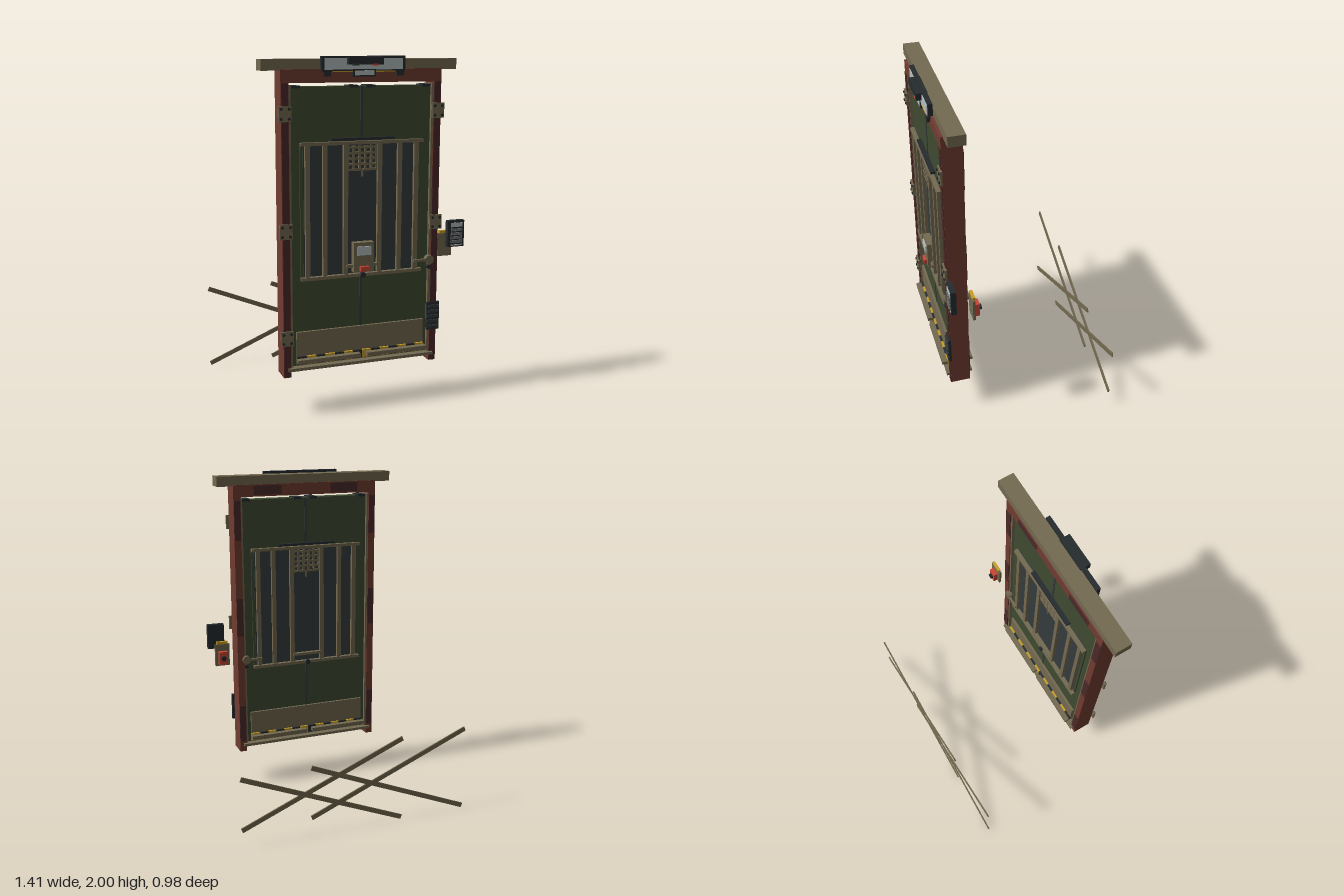
import * as THREE from 'three';

const paint = (name, color) => {
  const m = new THREE.MeshStandardMaterial({ color });
  m.name = name;
  return m;
};

export function createModel() {
  const green = paint('door green', 0x3f4a31), tan = paint('weathered tan', 0x746a51);
  const rust = paint('rust red', 0x713c31), darkRust = paint('dark rust', 0x4b2929);
  const slate = paint('slate grey', 0x353c3e), black = paint('charcoal', 0x262b2f);
  const pale = paint('pale glass', 0xb4bdbd), red = paint('signal red', 0xcb4634);
  const yellow = paint('hazard yellow', 0xc9a028), grey = paint('button grey', 0x6a706d);

  const model = new THREE.Group();
  model.name = 'securityDoor';
  const ZC = 0.3875; // middle of the wall thickness

  // Box given by its limits on each axis
  function box(name, mat, x0, x1, y0, y1, z0, z1, parent = model) {
    const m = new THREE.Mesh(new THREE.BoxGeometry(x1 - x0, y1 - y0, Math.abs(z1 - z0)), mat);
    m.position.set((x0 + x1) / 2, (y0 + y1) / 2, (z0 + z1) / 2);
    m.name = name;
    parent.add(m);
    return m;
  }
  // Disc or rod pointing along z
  function disc(name, mat, x, y, z, r, depth, sides = 12, parent = model) {
    const m = new THREE.Mesh(new THREE.CylinderGeometry(r, r, depth, sides).rotateX(Math.PI / 2), mat);
    m.position.set(x, y, z);
    m.name = name;
    parent.add(m);
    return m;
  }
  function group(name) {
    const g = new THREE.Group();
    g.name = name;
    model.add(g);
    return g;
  }

  // Frame
  const frame = group('frame');
  box('lintel', tan, -0.565, 0.562, 1.925, 1.985, 0.335, 0.43, frame);
  box('header', rust, -0.465, 0.465, 1.86, 1.932, 0.33, 0.445, frame);
  for (const s of [-1, 1]) {
    const x = s * 0.4425;
    box('jamb', rust, x - 0.022, x + 0.022, 0.23, 1.93, 0.33, 0.445, frame);
    box('jambFace', darkRust, x - 0.019, x + 0.019, 0.23, 1.86, 0.445, 0.448, frame);
    box('jambLining', tan, s * 0.415 - 0.006, s * 0.415 + 0.006, 0.28, 1.85, 0.335, 0.44, frame);
    box('headerPatch', darkRust, s * 0.25 - 0.09, s * 0.25 + 0.09, 1.87, 1.925, 0.327, 0.33, frame);
    for (const y of [0.42, 1.12, 1.72])
      box('jambPatch', darkRust, x - 0.02, x + 0.02, y - 0.12, y + 0.12, 0.327, 0.33, frame);
  }
  box('sill', tan, -0.44, 0.44, 0.268, 0.285, 0.31, 0.465, frame);

  // Two door leaves with top rollers
  const door = group('door');
  for (const s of [-1, 1]) {
    const x = s * 0.2065;
    box('leaf', green, x - 0.2025, x + 0.2025, 0.285, 1.84, 0.352, 0.423, door);
    for (const rx of [0.05, 0.38])
      box('roller', black, s * rx - 0.025, s * rx + 0.025, 1.832, 1.846, 0.345, 0.435, door);
  }
  box('seam', slate, -0.007, 0.007, 0.285, 1.84, 0.349, 0.426, door);

  // Reinforcement on both faces of the door
  for (const f of [-1, 1]) {
    const g = group(f > 0 ? 'frontReinforcement' : 'backReinforcement');
    const part = (name, mat, x0, x1, y0, y1, d0, d1) =>
      box(name, mat, x0, x1, y0, y1, ZC + f * d0, ZC + f * d1, g);
    part('darkPanel', slate, -0.34, 0.34, 0.79, 1.535, 0.035, 0.043);
    for (const x of [-0.32, -0.22, -0.1, 0.1, 0.22, 0.32])
      part('bar', tan, x - 0.013, x + 0.013, 0.79, 1.535, 0.043, 0.062);
    for (const s of [-1, 1])
      part('stileStrip', green, s * 0.35 - 0.008, s * 0.35 + 0.008, 0.8, 1.525, 0.035, 0.045);
    for (const y of [0.79, 1.535]) part('rail', tan, -0.36, 0.36, y - 0.009, y + 0.009, 0.043, 0.068);
    part('railCap', black, -0.185, 0.185, 1.548, 1.562, 0.035, 0.062);

    // Grille
    for (let i = 0; i < 6; i++) {
      const x = -0.085 + i * 0.034;
      part('grilleBar', tan, x - 0.006, x + 0.006, 1.38, 1.52, 0.045, 0.054);
    }
    for (let i = 0; i < 5; i++) {
      const y = 1.385 + i * 0.031;
      part('grilleBar', tan, -0.09, 0.09, y - 0.006, y + 0.006, 0.045, 0.054);
    }
    part('grillePin', tan, -0.004, 0.004, 1.345, 1.38, 0.045, 0.054);

    // Kick plate, hazard band and push bars
    part('kickPlate', tan, -0.385, 0.385, 0.29, 0.485, 0.035, 0.05);
    for (let i = 0; i < 14; i++) {
      const x = -0.385 + i * 0.055;
      part('hazardBlock', i % 2 ? yellow : black, x, x + 0.055, 0.3, 0.345, 0.05, 0.062);
    }
    for (const s of [-1, 1])
      part('lowerBar', tan, s * 0.205 - 0.185, s * 0.205 + 0.185, 0.314, 0.335, 0.062, 0.094);

    // Lever handle and lock
    disc('handleRose', tan, 0.41, 0.845, ZC + f * 0.06, 0.026, 0.03, 16, g);
    part('handleLever', tan, 0.31, 0.41, 0.838, 0.852, 0.062, 0.075);
    disc('keyhole', black, 0.41, 0.8, ZC + f * 0.05, 0.012, 0.03, 12, g);
    part('latchBar', tan, -0.1, 0.1, 0.837, 0.853, 0.045, 0.07);
    disc('latchBolt', black, 0, 0.79, ZC + f * 0.065, 0.016, 0.02, 12, g);
  }

  // Lock box on the front
  const lock = group('lockBox');
  box('lockBody', tan, -0.06, 0.06, 0.81, 0.98, 0.43, 0.472, lock);
  box('lockWindow', pale, -0.04, 0.04, 0.908, 0.958, 0.472, 0.48, lock);
  box('lockButton', red, -0.026, 0.026, 0.818, 0.845, 0.472, 0.49, lock);

  // Hinges with bolts
  for (const s of [-1, 1]) for (const y of [0.46, 1.065, 1.7]) {
    if (s > 0 && y < 0.5) continue;
    const g = group('hinge');
    const x = s * 0.445;
    box('hingePlate', tan, x - 0.036, x + 0.036, y - 0.042, y + 0.042, 0.445, 0.457, g);
    for (const dx of [-0.022, 0.022]) for (const dy of [-0.026, 0.026])
      disc('hingeBolt', black, x + dx, y + dy, 0.459, 0.008, 0.008, 8, g);
  }

  // Vent box on the left jamb
  const vent = group('ventBox');
  box('ventBody', black, 0.403, 0.48, 0.42, 0.587, 0.44, 0.455, vent);
  for (let i = 0; i < 5; i++)
    box('ventSlat', slate, 0.408, 0.475, 0.435 + i * 0.03, 0.451 + i * 0.03, 0.455, 0.462, vent);

  // Sign over the door
  const sign = group('overheadSign');
  box('signFrame', black, -0.24, 0.24, 1.915, 2, 0.43, 0.455, sign);
  box('signFace', pale, -0.225, 0.225, 1.928, 1.988, 0.455, 0.459, sign);
  box('sensorHousing', black, -0.1, 0.1, 1.955, 1.995, 0.425, 0.487, sign);
  box('sensorLight', red, 0.04, 0.07, 1.949, 1.96, 0.47, 0.489, sign);
  box('sensorTab', slate, -0.075, -0.04, 1.949, 1.96, 0.47, 0.489, sign);
  box('amberStrip', yellow, -0.18, 0.18, 1.915, 1.921, 0.455, 0.458, sign);
  box('lowerLampFrame', black, -0.066, 0.066, 1.89, 1.93, 0.445, 0.462, sign);
  box('lowerLamp', pale, -0.056, 0.056, 1.898, 1.924, 0.462, 0.466, sign);
  for (const s of [-1, 1])
    box('signBracket', black, s * 0.21 - 0.02, s * 0.21 + 0.02, 1.893, 1.92, 0.445, 0.46, sign);

  // Keypad beside the door
  const keypad = group('keypad');
  box('keypadBody', black, 0.522, 0.626, 0.91, 1.065, 0.43, 0.46, keypad);
  box('keypadScreen', pale, 0.54, 0.612, 1.027, 1.052, 0.46, 0.464, keypad);
  box('keypadStrip', pale, 0.54, 0.612, 0.917, 0.924, 0.46, 0.464, keypad);
  for (let r = 0; r < 4; r++) for (let c = 0; c < 3; c++)
    box('key', grey, 0.541 + c * 0.025, 0.561 + c * 0.025, 0.933 + r * 0.023, 0.949 + r * 0.023, 0.46, 0.467, keypad);

  // Emergency switch on the back side
  const alarm = group('emergencySwitch');
  box('switchPlate', tan, 0.52, 0.61, 0.828, 0.965, 0.32, 0.335, alarm);
  box('switchCap', yellow, 0.53, 0.6, 0.965, 0.982, 0.318, 0.335, alarm);
  box('switchBody', red, 0.54, 0.592, 0.84, 0.922, 0.292, 0.32, alarm);
  disc('switchKnob', black, 0.566, 0.882, 0.285, 0.016, 0.015, 12, alarm);

  // Four loose slats lying in one plane behind the door
  const slats = group('crossedSlats');
  for (const [x0, y0, x1, y1] of [
    [-0.7, 0.52, 0.285, 0.115], [-0.285, 0.52, 0.7, 0.115],
    [-0.7, 0.016, 0.285, 0.425], [-0.285, 0.016, 0.7, 0.425],
  ]) {
    const m = new THREE.Mesh(new THREE.BoxGeometry(Math.hypot(x1 - x0, y1 - y0), 0.028, 0.008), tan);
    m.position.set((x0 + x1) / 2, (y0 + y1) / 2, -0.489);
    m.rotation.z = Math.atan2(y1 - y0, x1 - x0);
    m.name = 'slat';
    slats.add(m);
  }
  return model;
}
